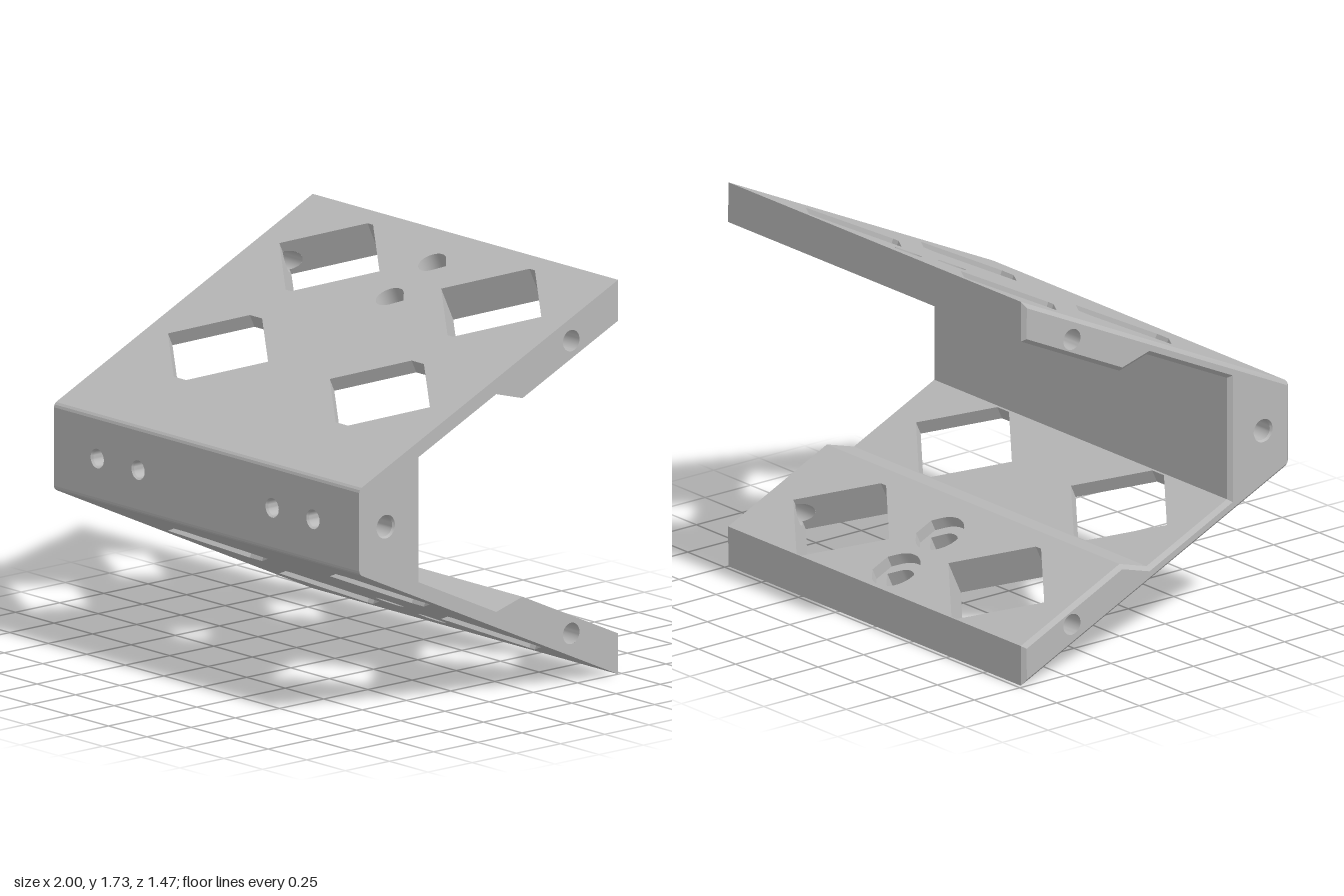
import * as THREE from 'three';
import { toCreasedNormals } from 'three/addons/utils/BufferGeometryUtils.js';

const V2 = (x, y) => new THREE.Vector2(x, y);
const V3 = (x, y, z) => new THREE.Vector3(x, y, z);
const H = 1.735, MID = H / 2;          // overall height and mirror line
const X0 = -0.982, X1 = 1;             // straight run of the profile
const THICK = 0.163, THIN = 0.062;     // panel thicknesses
const N = V3(0, 0.907, 0.421);         // outward normal of the upper panel
const U = V3(0, 0.421, -0.907);        // slope direction, front to back
const CORNER = V3(0, 1.055, 0.735);
const BORE = { u: 1.28, w: 0.091, r: 0.047 };

const plastic = new THREE.MeshStandardMaterial({ color: 0xb8b8b8, side: THREE.DoubleSide });
plastic.name = 'light grey';

// Point of the upper panel from slope distance u and depth w
const P = (u, w) => CORNER.clone().addScaledVector(U, u).addScaledVector(N, -w);

function add(parent, name, geometry) {
  const m = new THREE.Mesh(geometry, plastic);
  m.name = name;
  parent.add(m);
  return m;
}

// Flat shape laid on a plane given by an origin and two axes
function plate(parent, name, shape, origin, a, b) {
  const m = new THREE.Matrix4().makeBasis(a, b, a.clone().cross(b)).setPosition(origin);
  return add(parent, name, new THREE.ShapeGeometry(shape, 24).applyMatrix4(m));
}

// Strip of quads between two closed rings
function loft(parent, name, A, B) {
  const pos = [];
  A.forEach((p, i) => {
    const j = (i + 1) % A.length;
    for (const v of [p, A[j], B[j], p, B[j], B[i]]) pos.push(v.x, v.y, v.z);
  });
  const g = new THREE.BufferGeometry();
  g.setAttribute('position', new THREE.Float32BufferAttribute(pos, 3));
  return add(parent, name, toCreasedNormals(g, 0.6));
}

// Rectangular face over one profile edge, with holes given as point lists
function face(parent, name, p, q, holes = []) {
  const dir = q.clone().sub(p), len = dir.length();
  const s = new THREE.Shape([V2(X0, 0), V2(X1, 0), V2(X1, len), V2(X0, len)]);
  s.holes = holes.map(h => new THREE.Path(h));
  plate(parent, name, s, p, V3(1, 0, 0), dir.normalize());
}

// Diamond with blunted front and back corners
const DW = 0.325, DH = 0.27;
const tipX = h => DW * (1 - h / DH);
function diamond(x, u, h) {
  const t = tipX(h);
  return [V2(x + DW, u), V2(x + t, u + h), V2(x - t, u + h),
    V2(x - DW, u), V2(x - t, u - h), V2(x + t, u - h)];
}

function circle(x, y, r, n = 32) {
  return Array.from({ length: n }, (_, i) =>
    V2(x + r * Math.cos(i / n * 2 * Math.PI), y + r * Math.sin(i / n * 2 * Math.PI)));
}

// Teardrop pointing to +x, its tip cut off at distance cut
function teardrop(u, r, cut) {
  const pts = [], half = Math.max(r * Math.SQRT2 - cut, 0.0005);
  for (let i = 0; i <= 24; i++) {
    const a = Math.PI / 4 + i / 24 * 1.5 * Math.PI;
    pts.push(V2(r * Math.cos(a), u + r * Math.sin(a)));
  }
  pts.push(V2(cut, u - half), V2(cut, u + half));
  return pts;
}

// Blind screw hole with a cone at the bottom, opening at y = 0
function screwHole(parent, name, r, depth) {
  const prof = [V2(r, 0), V2(r * 0.86, 0.01), V2(r * 0.86, depth), V2(0.0001, depth + r)];
  return add(parent, name, toCreasedNormals(new THREE.LatheGeometry(prof, 32), 0.5));
}

// Move every edge of a closed outline inwards by d
function inset(pts, d) {
  return pts.map((p, i) => {
    const a = pts[(i + pts.length - 1) % pts.length], b = pts[(i + 1) % pts.length];
    const e1 = p.clone().sub(a).normalize(), e2 = b.clone().sub(p).normalize();
    const n1 = V2(-e1.y, e1.x), n2 = V2(-e2.y, e2.x);
    return p.clone().addScaledVector(n1.clone().add(n2), d / (1 + n1.dot(n2)));
  });
}

// Walls of a diamond window, with a notch where the side bore breaks through
function windowWalls(parent, u, h, t, notch) {
  const pts = diamond(0.525, u, h);
  pts.forEach((p, i) => {
    let a = p, b = pts[(i + 1) % 6];
    if (i === 5) [a, b] = [b, a];
    const dir = b.clone().sub(a), L = dir.length();
    const s = new THREE.Shape();
    s.moveTo(0, 0).lineTo(L, 0).lineTo(L, t).lineTo(0, t);
    if (notch && (i === 0 || i === 5)) {
      s.lineTo(0, BORE.w + BORE.r);
      s.absellipse(0, BORE.w, BORE.r * Math.hypot(DW, DH) / DH, BORE.r, Math.PI / 2, -Math.PI / 2, true);
    }
    s.closePath();
    plate(parent, 'windowWall', s, V3(a.x, a.y, 0), V3(dir.x / L, dir.y / L, 0), V3(0, 0, -1));
  });
}

export function createModel() {
  const model = new THREE.Group();
  model.name = 'angledBracket';

  // Half of the side profile, from the front face around to the inner wall
  const half = [V3(0, 1.04, 0.735), V3(0, 1.0515, 0.731), P(0.014, 0), P(1.615, 0),
    P(1.54, THICK), P(0.943, THICK), P(0.826, THIN), P(0.34, THIN)];
  const flip = p => V3(0, H - p.y, p.z);
  const outline = [...half, ...half.map(flip).reverse()];

  const rear = { u: BORE.u, h: 0.255 }, front = { u: 0.585, h: 0.237 };
  const drops = [1.152, 1.416];
  const windows = (d, v) => [diamond(0.525, v(d.u), d.h), diamond(-0.525, v(d.u), d.h)];

  // Upper panel skin
  const panel = new THREE.Group();
  panel.name = 'panel';
  const fromFront = u => u - 0.014;
  const holes = {
    2: [...windows(front, fromFront), ...windows(rear, fromFront),
      ...drops.map(u => teardrop(fromFront(u), 0.063, 0.088))],
    4: [...windows(rear, u => 1.54 - u), ...drops.map(u => teardrop(1.54 - u, 0.11, 0.11))],
    6: windows(front, u => 0.826 - u),
  };
  const names = ['frontEdge', 'frontEdge', 'outerSkin', 'rearEdge', 'thickInnerSkin', 'ramp', 'thinInnerSkin'];
  names.forEach((n, i) => face(panel, n, half[i], half[i + 1], holes[i]));

  // Openings through the panel, in the panel's own frame
  const frame = new THREE.Group();
  frame.name = 'openings';
  new THREE.Matrix4().makeBasis(V3(1, 0, 0), U, N).setPosition(CORNER)
    .decompose(frame.position, frame.quaternion, frame.scale);
  panel.add(frame);

  const side = new THREE.Group();
  side.name = 'windows';
  windowWalls(side, rear.u, rear.h, THICK, true);
  windowWalls(side, front.u, front.h, THIN, false);
  const ring = circle(0, 0, BORE.r);
  loft(side, 'sideBore',
    ring.map(c => V3(1, BORE.u + c.x, -BORE.w - c.y)),
    ring.map(c => V3(0.525 + DW * (1 - Math.abs(c.x) / DH), BORE.u + c.x, -BORE.w - c.y)));
  const otherSide = side.clone();
  otherSide.scale.x = -1;
  frame.add(side, otherSide);

  // Teardrop screw holes with a recess on the inside
  const floorW = 0.11;
  const at = (pts, w) => pts.map(p => V3(p.x, p.y, -w));
  for (const u of drops) {
    const small = teardrop(u, 0.063, 0.088), big = teardrop(u, 0.11, 0.11);
    loft(frame, 'screwHole', at(small, 0), at(small, floorW));
    loft(frame, 'recessWall', at(big, floorW), at(big, THICK));
    const floor = new THREE.Shape(big);
    floor.holes.push(new THREE.Path(small));
    plate(frame, 'recessFloor', floor, V3(0, 0, -floorW), V3(-1, 0, 0), V3(0, 1, 0)).scale.x = -1;
  }

  const lower = panel.clone();
  lower.name = 'lowerPanel';
  lower.scale.y = -1;
  lower.position.y = H;
  panel.name = 'upperPanel';
  model.add(panel, lower);

  // Front bar: outer face with four screw holes, and the inner wall
  const holeX = [-0.7, -0.435, 0.435, 0.7];
  const y0 = flip(half[0]).y;
  face(model, 'frontFace', flip(half[0]), half[0], holeX.map(x => circle(x, MID - y0, 0.043)));
  face(model, 'innerWall', half[7], flip(half[7]));
  for (const x of holeX) {
    const s = screwHole(model, 'frontScrewHole', 0.043, 0.1);
    s.position.set(x, MID, 0.735);
    s.rotation.x = -Math.PI / 2;
  }

  // End faces; the right-hand end has a small chamfer all round
  const bore = P(BORE.u, BORE.w);
  const flat = outline.map(p => V2(-p.z, p.y));
  const clockwise = THREE.ShapeUtils.isClockWise(flat);
  const small = inset(flat, clockwise ? -0.018 : 0.018);
  for (const sx of [1, -1]) {
    const s = new THREE.Shape((sx > 0 ? flat : small).map(p => V2(sx * p.x, p.y)));
    for (const [z, y, r] of [[0.585, MID, 0.052], [bore.z, bore.y, BORE.r], [bore.z, H - bore.y, BORE.r]])
      s.holes.push(new THREE.Path(circle(-sx * z, y, r)));
    plate(model, 'endFace', s, V3(sx, 0, 0), V3(0, 0, -sx), V3(0, 1, 0));
    const hole = screwHole(model, 'endScrewHole', 0.052, 0.2);
    hole.position.set(sx, MID, 0.585);
    hole.rotation.z = sx * Math.PI / 2;
  }
  loft(model, 'endChamfer', small.map(p => V3(-1, p.y, -p.x)), flat.map(p => V3(X0, p.y, -p.x)));

  return model;
}
